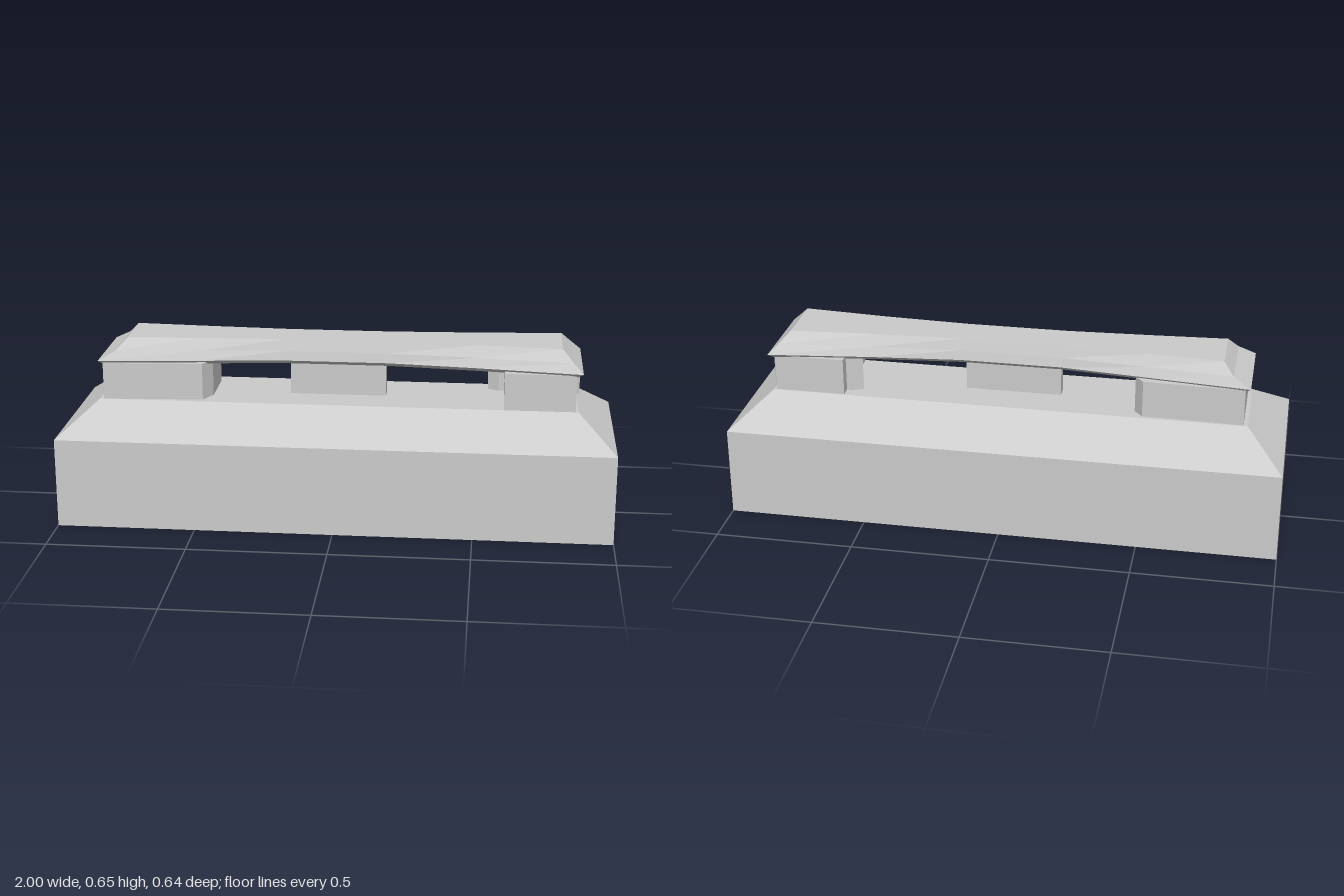
import * as THREE from 'three';

const material = new THREE.MeshStandardMaterial({ color: 0xcccccc, flatShading: true });

function addMesh(group, name, geometry) {
  const mesh = new THREE.Mesh(geometry, material);
  mesh.name = name;
  group.add(mesh);
}

// Closed solid through stacked outlines. Each outline runs left to right
// along the front, then right to left along the back.
function loft(levels) {
  const n = levels[0].length;
  const positions = [];
  const quad = (a, b, c, d) => [a, b, c, a, c, d].forEach((p) => positions.push(...p));
  for (let i = 0; i < levels.length - 1; i++) {
    for (let j = 0; j < n; j++) {
      const k = (j + 1) % n;
      quad(levels[i][j], levels[i][k], levels[i + 1][k], levels[i + 1][j]);
    }
  }
  const bottom = levels[0];
  const top = levels[levels.length - 1];
  for (let j = 0; j < n / 2 - 1; j++) {
    const back = n - 1 - j;
    quad(top[j], top[j + 1], top[back - 1], top[back]);
    quad(bottom[j], bottom[back], bottom[back - 1], bottom[j + 1]);
  }
  const geometry = new THREE.BufferGeometry();
  geometry.setAttribute('position', new THREE.Float32BufferAttribute(positions, 3));
  geometry.computeVertexNormals();
  return geometry;
}

// Upright wall from a plan of [x, z] corners
function wall(plan, y0, y1) {
  const shape = new THREE.Shape(plan.map(([x, z]) => new THREE.Vector2(x, -z)));
  const geometry = new THREE.ExtrudeGeometry(shape, { depth: y1 - y0, bevelEnabled: false });
  geometry.rotateX(-Math.PI / 2);
  geometry.translate(0, y0, 0);
  return geometry;
}

const rectangle = (y, x, front, back) => [[-x, y, front], [x, y, front], [x, y, back], [-x, y, back]];

// Roof outline, pinched towards the middle
function roofOutline({ y, left, right, end, middle }) {
  const waist = middle + (end - middle) * 0.4;
  const stations = [
    [left, end * 0.94], [-0.5, waist], [-0.19, middle],
    [0.18, middle], [0.5, waist], [right, end],
  ];
  const front = stations.map(([x, z]) => [x, y, z - 0.004]);
  const back = stations.map(([x, z]) => [x, y, -z - 0.004]).reverse();
  return [...front, ...back];
}

export function createModel() {
  const group = new THREE.Group();
  group.name = 'pavilion';

  // Plinth with sloping shoulders
  addMesh(group, 'base', loft([
    rectangle(0, 1, 0.32, -0.32),
    rectangle(0.327, 1, 0.32, -0.32),
    rectangle(0.435, 0.865, 0.153, -0.16),
  ]));

  // Solid end blocks and the thin central wall
  addMesh(group, 'rightBlock', wall(
    [[-0.85, 0.153], [-0.49, 0.13], [-0.46, 0.07], [-0.46, -0.11], [-0.49, -0.145], [-0.85, -0.155]], 0.43, 0.57));
  addMesh(group, 'leftBlock', wall(
    [[0.6, 0.153], [0.855, 0.153], [0.855, -0.155], [0.6, -0.155]], 0.43, 0.57));
  addMesh(group, 'centreWall', wall(
    [[-0.18, 0.022], [0.17, 0.022], [0.17, -0.022], [-0.18, -0.022]], 0.43, 0.572));

  // Pointed fin passing through the left block
  addMesh(group, 'fin', wall(
    [[0.54, -0.1], [0.58, -0.08], [0.856, -0.08], [0.877, -0.098], [0.856, -0.116], [0.58, -0.116]], 0.42, 0.578));

  // Hipped roof: underside, eave, break and ridge
  addMesh(group, 'roof', loft([
    { y: 0.564, left: -0.85, right: 0.858, end: 0.155, middle: 0.075 },
    { y: 0.578, left: -0.868, right: 0.877, end: 0.17, middle: 0.09 },
    { y: 0.612, left: -0.805, right: 0.842, end: 0.144, middle: 0.082 },
    { y: 0.653, left: -0.768, right: 0.803, end: 0.107, middle: 0.069 },
  ].map(roofOutline)));

  return group;
}
